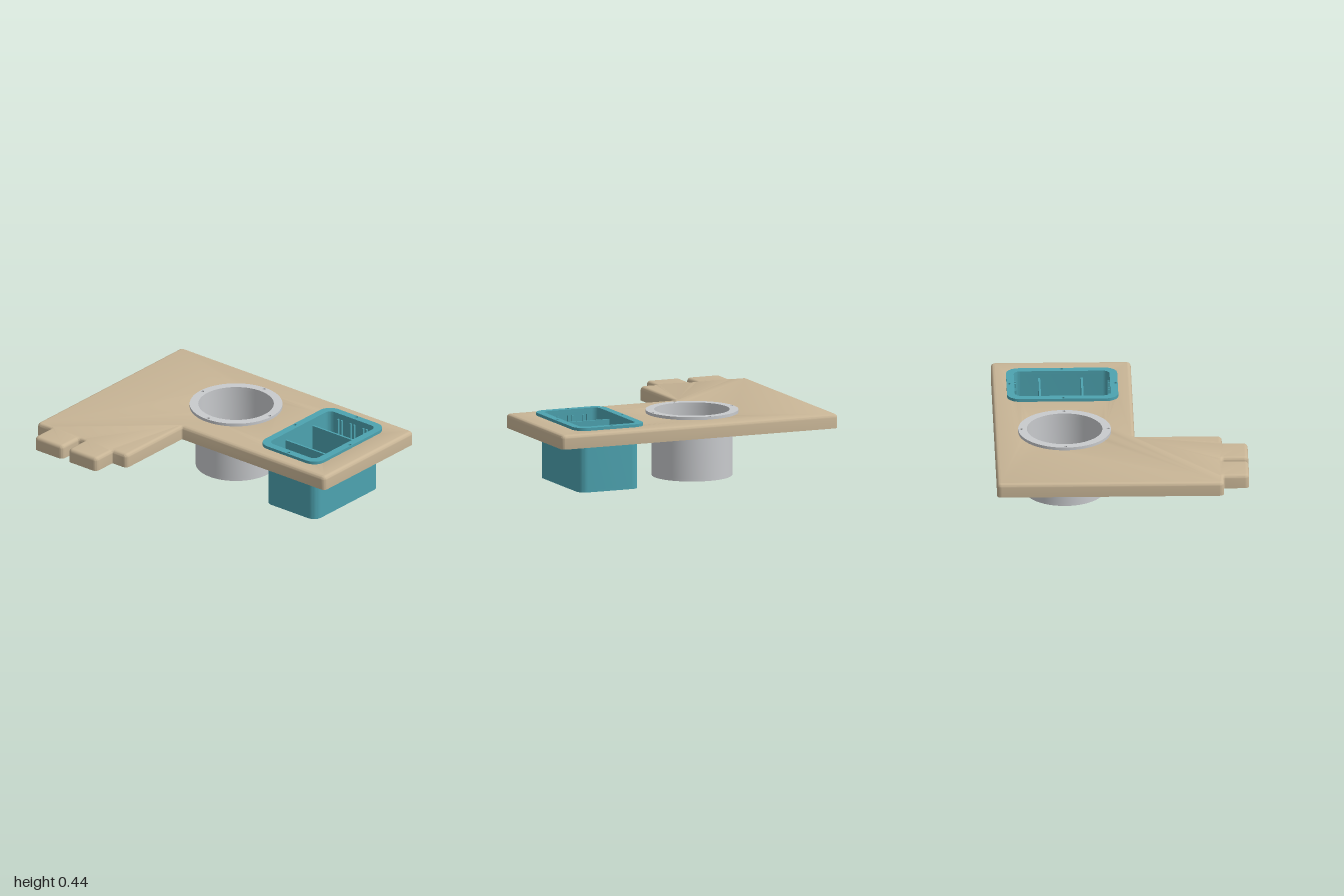
import * as THREE from 'three';
import { toCreasedNormals } from 'three/addons/utils/BufferGeometryUtils.js';

// Colours
const mat = (name, color) => Object.assign(new THREE.MeshStandardMaterial({ color }), { name });

// Outline through [x, z, cornerRadius] points; shape y is -z
function roundedOutline(points, Type = THREE.Shape) {
  const path = new Type();
  const n = points.length;
  points.forEach(([x, z, r], i) => {
    const p = new THREE.Vector2(x, -z);
    const [ax, az] = points[(i + n - 1) % n];
    const [bx, bz] = points[(i + 1) % n];
    const a = new THREE.Vector2(ax, -az).sub(p).setLength(r).add(p);
    const b = new THREE.Vector2(bx, -bz).sub(p).setLength(r).add(p);
    if (i === 0) path.moveTo(a.x, a.y);
    else path.lineTo(a.x, a.y);
    // near-circular corner
    const k = 0.552;
    path.bezierCurveTo(
      a.x + (p.x - a.x) * k, a.y + (p.y - a.y) * k,
      b.x + (p.x - b.x) * k, b.y + (p.y - b.y) * k, b.x, b.y);
  });
  path.closePath();
  return path;
}

function rect(cx, cz, w, d, r, Type) {
  const x = w / 2, z = d / 2;
  return roundedOutline([
    [cx - x, cz + z, r], [cx + x, cz + z, r], [cx + x, cz - z, r], [cx - x, cz - z, r],
  ], Type);
}

function circle(cx, cz, r, Type = THREE.Shape) {
  return new Type().absarc(cx, -cz, r, 0, Math.PI * 2, false);
}

// Horizontal slab from y0 to y1, with an optional rounded top edge
function slab(name, shape, holes, y0, y1, material, segments, bevel = 0) {
  shape.holes = holes;
  const geo = new THREE.ExtrudeGeometry(shape, {
    depth: y1 - y0 - bevel, curveSegments: segments, bevelEnabled: bevel > 0,
    bevelThickness: bevel, bevelSize: bevel, bevelOffset: -bevel, bevelSegments: 5,
  });
  // Flatten the lower bevel so the underside keeps a sharp edge
  const pos = geo.attributes.position;
  for (let i = 0; i < pos.count; i++) pos.setZ(i, Math.max(0, pos.getZ(i)));
  geo.rotateX(-Math.PI / 2);
  geo.translate(0, y0, 0);
  const mesh = new THREE.Mesh(toCreasedNormals(geo, 0.6), material);
  mesh.name = name;
  return mesh;
}

export function createModel() {
  const tan = mat('tan board', 0xc8b596);
  const grey = mat('light grey', 0xc8cacd);
  const teal = mat('teal', 0x4da3b0);
  const model = new THREE.Group();
  model.name = 'organiserBoard';

  const cup = { x: -0.145, z: -0.372 };
  const bin = { x: 0.597, z: -0.372 };
  const bottom = 0.325, top = 0.42, rim = 0.44;

  // L-shaped board with two tabs on the short arm
  const R = 0.03, C = 0.01;
  const outline = roundedOutline([
    [-1, 0.665, R], [-0.88, 0.665, C], [-0.88, 0.834, R], [-0.637, 0.834, R],
    [-0.637, 0.665, C], [-0.59, 0.665, C], [-0.59, 0.834, R], [-0.345, 0.834, R],
    [-0.345, 0.665, C], [-0.225, 0.665, R], [-0.225, 0.09, C], [1, 0.09, R],
    [1, -0.836, R], [-1, -0.836, R],
  ]);
  model.add(slab('board', outline, [
    circle(cup.x, cup.z, 0.266, THREE.Path),
    rect(bin.x, bin.z, 0.434, 0.668, 0.06, THREE.Path),
  ], bottom, top, tan, 20, 0.025));

  // Screw holes at the four sides of a flange
  const screwHoles = (c, dx, dz) => [[dx, 0], [-dx, 0], [0, dz], [0, -dz]]
    .map(([x, z]) => circle(c.x + x, c.z + z, 0.011, THREE.Path));

  // Round cup
  const cupGroup = new THREE.Group();
  cupGroup.name = 'roundCup';
  cupGroup.add(
    slab('cupFloor', circle(cup.x, cup.z, 0.267), [], 0, 0.016, grey, 40),
    slab('cupWall', circle(cup.x, cup.z, 0.267), [circle(cup.x, cup.z, 0.25, THREE.Path)],
      0.016, top, grey, 40),
    slab('cupFlange', circle(cup.x, cup.z, 0.307),
      [circle(cup.x, cup.z, 0.25, THREE.Path), ...screwHoles(cup, 0.288, 0.288)],
      top, rim, grey, 40));
  model.add(cupGroup);

  // Rectangular bin
  const binGroup = new THREE.Group();
  binGroup.name = 'dividedBin';
  const opening = () => rect(bin.x, bin.z, 0.402, 0.634, 0.045, THREE.Path);
  binGroup.add(
    slab('binFloor', rect(bin.x, bin.z, 0.435, 0.669, 0.06), [], 0, 0.016, teal, 10),
    slab('binWall', rect(bin.x, bin.z, 0.435, 0.669, 0.06), [opening()], 0.016, top, teal, 10),
    slab('binFlange', rect(bin.x, bin.z, 0.504, 0.736, 0.085),
      [opening(), ...screwHoles(bin, 0.236, 0.351)], top, rim, teal, 10));

  const addBox = (name, w, h, d, x, z) => {
    const mesh = new THREE.Mesh(new THREE.BoxGeometry(w, h, d), teal);
    mesh.name = name;
    mesh.position.set(x, 0.016 + h / 2, z);
    binGroup.add(mesh);
  };
  // Cross dividers
  for (const z of [-0.52, -0.238]) addBox('divider', 0.404, 0.375, 0.014, bin.x, z);
  // Paired slot ribs on the end walls
  for (const side of [-1, 1])
    for (const slot of [-0.107, 0, 0.107])
      for (const s of [-1, 1])
        addBox('slotRib', 0.011, 0.385, 0.014, bin.x + slot + s * 0.015, bin.z + side * 0.311);
  model.add(binGroup);

  return model;
}
